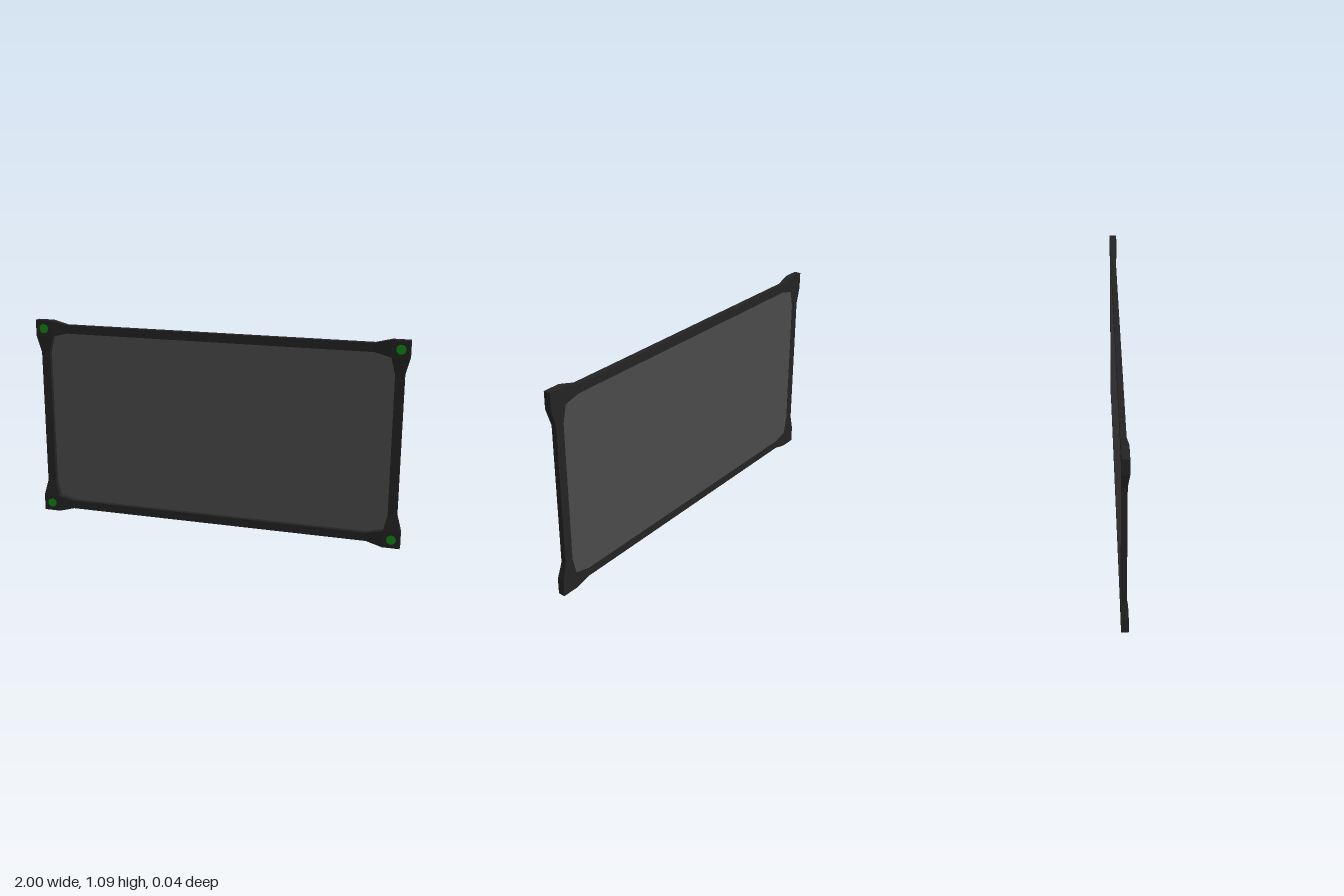
import * as THREE from 'three';

const MID_Y = 0.545;
const BACK = -0.0185, LOW = 0.0095, HIGH = 0.0185;

// One corner, from the side bar round to the top bar: outer x, y, inner x, y, front z
const CORNER = [
  [0.977, 0.369, 0.93, 0.369, LOW],
  [1.0, 0.457, 0.909, 0.457, HIGH],
  [1.0, 0.545, 0.909, 0.457, HIGH],
  [0.909, 0.545, 0.909, 0.457, HIGH],
  [0.825, 0.524, 0.825, 0.478, LOW],
];

// Mirror the corner into a full counter-clockwise loop of stations
function makeStations() {
  const loop = [];
  for (const [sx, sy] of [[1, 1], [-1, 1], [-1, -1], [1, -1]]) {
    const pts = CORNER.map(([ox, oy, ix, iy, z]) => [ox * sx, oy * sy, ix * sx, iy * sy, z]);
    if (sx * sy < 0) pts.reverse();
    loop.push(...pts);
  }
  return loop;
}

// Sweep a four-sided section round the stations
function frameGeometry(stations) {
  const pos = [];
  const section = ([ox, oy, ix, iy, z]) => [
    [ox, oy, BACK], [ox, oy, z], [ix, iy, z], [ix, iy, BACK],
  ];
  stations.forEach((s, i) => {
    const a = section(s), b = section(stations[(i + 1) % stations.length]);
    for (let k = 0; k < 4; k++) {
      const n = (k + 1) % 4;
      pos.push(...a[k], ...b[k], ...b[n], ...a[k], ...b[n], ...a[n]);
    }
  });
  const g = new THREE.BufferGeometry();
  g.setAttribute('position', new THREE.Float32BufferAttribute(pos, 3));
  g.computeVertexNormals();
  return g;
}

export function createModel() {
  const frameMat = new THREE.MeshStandardMaterial({ color: 0x232323 });
  frameMat.name = 'frame black';
  const panelMat = new THREE.MeshStandardMaterial({ color: 0x4b4b4b });
  panelMat.name = 'panel grey';
  const dotMat = new THREE.MeshStandardMaterial({ color: 0x118511 });
  dotMat.name = 'marker green';

  const model = new THREE.Group();
  model.name = 'framedPanel';
  const add = (name, geometry, material, x, y, z) => {
    const mesh = new THREE.Mesh(geometry, material);
    mesh.name = name;
    mesh.position.set(x, y, z);
    model.add(mesh);
  };

  // Frame with flared, raised corners
  const stations = makeStations();
  add('frame', frameGeometry(stations), frameMat, 0, MID_Y, 0);

  // Thin panel set at the back of the opening
  const inner = stations
    .filter((s, i) => i % 5 !== 2 && i % 5 !== 3)
    .map((s) => new THREE.Vector2(s[2], s[3]));
  const panel = new THREE.ExtrudeGeometry(new THREE.Shape(inner), { depth: 0.003, bevelEnabled: false });
  add('panel', panel, panelMat, 0, MID_Y, BACK + 0.001);

  // Round green markers on the corners
  const dot = new THREE.CylinderGeometry(0.025, 0.025, 0.002, 16).rotateX(Math.PI / 2);
  for (const sx of [-1, 1]) {
    for (const sy of [-1, 1]) {
      add('cornerMarker', dot, dotMat, sx * 0.955, MID_Y + sy * 0.5, HIGH);
    }
  }
  return model;
}
